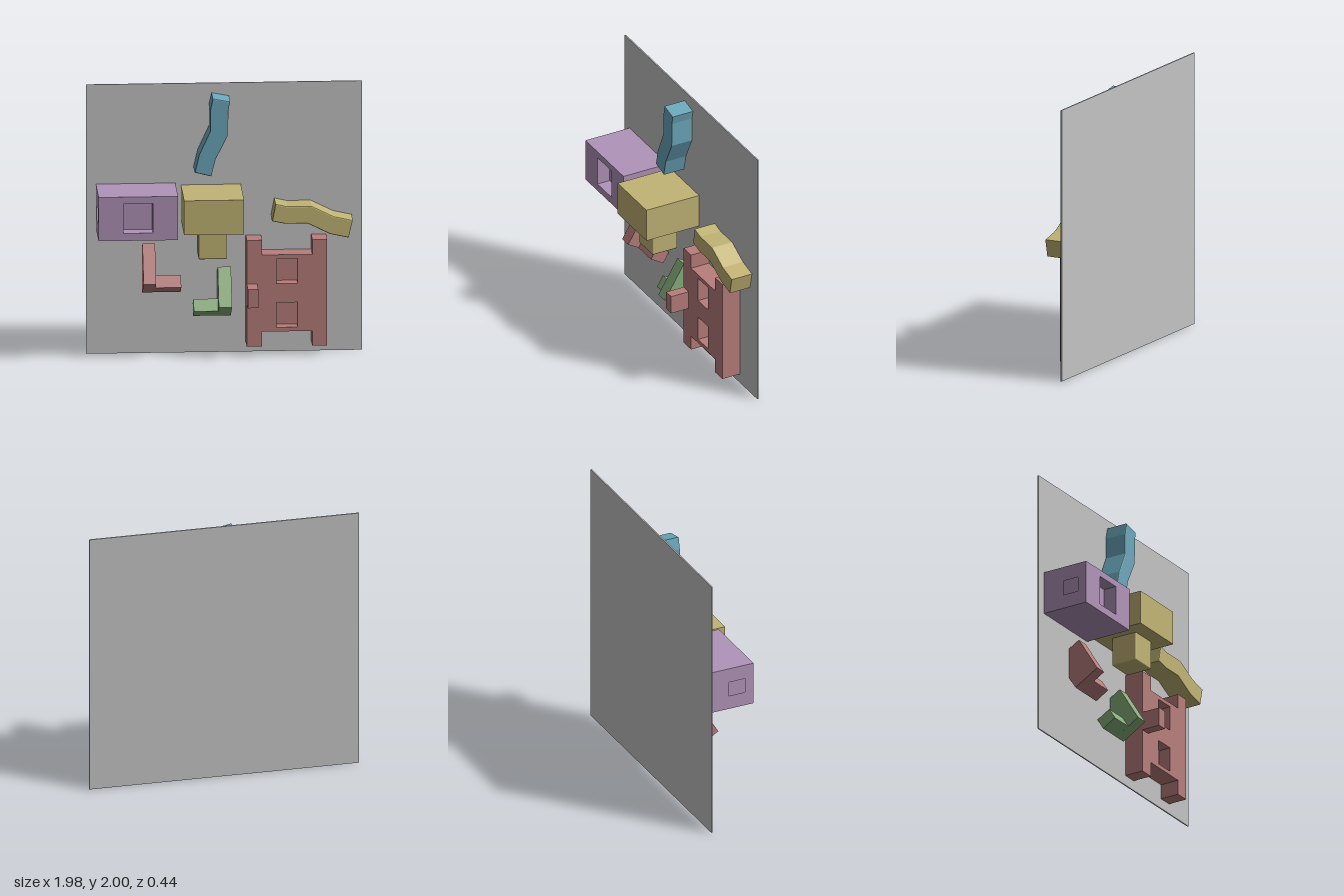
import * as THREE from 'three';
import { RoundedBoxGeometry } from 'three/addons/geometries/RoundedBoxGeometry.js';

const material = (name, color) => {
  const m = new THREE.MeshStandardMaterial({ color });
  m.name = name;
  return m;
};

const BACK = -0.21; // plane on which every part is mounted

const polygon = (points) => new THREE.Shape(points.map(([x, y]) => new THREE.Vector2(x, y)));

// Rectangle outline given by its limits
const rect = (x0, x1, y0, y1) => [[x0, y0], [x1, y0], [x1, y1], [x0, y1]];

const withHoles = (shape, ...holes) => {
  shape.holes = holes.map(polygon);
  return shape;
};

// Extrudes an x,y shape from z0 to z1, with an optional small bevel
function slab(shape, z0, z1, bevel = 0) {
  return new THREE.ExtrudeGeometry(shape, {
    depth: z1 - z0 - 2 * bevel, bevelEnabled: bevel > 0, bevelSize: bevel,
    bevelThickness: bevel, bevelOffset: -bevel, bevelSegments: 2,
  }).translate(0, 0, z0 + bevel);
}

// Extrudes a z,y shape from x0 to x1 (shape is drawn in -z,y and turned)
function sideSlab(points, x0, x1, holes = []) {
  const flip = (list) => list.map(([z, y]) => [-z, y]);
  const shape = withHoles(polygon(flip(points)), ...holes.map(flip));
  return slab(shape, x0, x1).rotateY(Math.PI / 2);
}

function box(x0, x1, y0, y1, z0, z1) {
  return new THREE.BoxGeometry(x1 - x0, y1 - y0, z1 - z0)
    .translate((x0 + x1) / 2, (y0 + y1) / 2, (z0 + z1) / 2);
}

export function createModel() {
  const model = new THREE.Group();
  const grey = material('panel grey', 0xc4c4c4);
  const purple = material('soft purple', 0xb094b8);
  const yellow = material('sand yellow', 0xc2b475);
  const blue = material('dusty blue', 0x6ca8bc);
  const pink = material('dusty pink', 0xb87e7c);
  const green = material('leaf green', 0x89b07c);

  const part = (name, mat, ...geometries) => {
    const group = new THREE.Group();
    group.name = name;
    geometries.forEach((g, i) => {
      const mesh = new THREE.Mesh(g, mat);
      mesh.name = `${name}${i + 1}`;
      group.add(mesh);
    });
    model.add(group);
  };

  part('backPanel', grey, box(-0.99, 0.99, 0, 2, -0.22, BACK));

  // Chest block with one socket in the front and one in the side
  part('chestBlock', purple,
    box(-0.82, -0.35, 0.935, 1.26, BACK, 0.05),
    slab(withHoles(polygon(rect(-0.82, -0.35, 0.935, 1.26)),
      rect(-0.74, -0.53, 0.99, 1.21)), 0.05, 0.15),
    sideSlab(rect(BACK, 0.15, 0.935, 1.26), -0.92, -0.82,
      [rect(-0.045, 0.08, 1.04, 1.15)]));

  // Head block with a neck peg under it
  part('headBlock', yellow, box(-0.31, 0.12, 0.99, 1.245, BACK, 0.22));
  part('neckPeg', yellow,
    new RoundedBoxGeometry(0.205, 0.24, 0.205, 2, 0.01).translate(-0.097, 0.895, 0.005));

  // Bent arms
  part('blueArm', blue, slab(polygon([
    [-0.09, 1.93], [-0.11, 1.84], [-0.11, 1.685], [-0.19, 1.51], [-0.22, 1.38],
    [-0.1, 1.35], [-0.07, 1.475], [0.02, 1.655], [0.022, 1.84], [0.035, 1.905],
  ]), BACK, -0.04, 0.008));
  part('yellowArm', yellow, slab(polygon([
    [0.335, 1.01], [0.43, 0.99], [0.59, 0.99], [0.75, 0.91], [0.885, 0.88],
    [0.915, 1.01], [0.78, 1.04], [0.62, 1.12], [0.445, 1.12], [0.36, 1.14],
  ]), BACK, -0.04, 0.008));

  // Tilted L-shaped legs: tall shin and low foot share one slanting sole
  const shin = [[-0.126, 0.835], [BACK, 0.785], [BACK, 0.557], [-0.155, 0.465], [0.03, 0.575]];
  const foot = [[-0.103, 0.605], [-0.203, 0.545], [-0.155, 0.465], [-0.055, 0.525]];
  part('pinkLeg', pink, sideSlab(shin, -0.59, -0.5), sideSlab(foot, -0.5, -0.315));
  part('greenLeg', green,
    sideSlab(shin, -0.05, 0.045).translate(0, -0.18, 0),
    sideSlab(foot, -0.225, -0.05).translate(0, -0.18, 0));

  // H-shaped hip block: solid back layer, front layer with two sockets
  const hip = () => polygon([
    [0.155, 0.075], [0.265, 0.075], [0.265, 0.185], [0.625, 0.185], [0.625, 0.075],
    [0.732, 0.075], [0.732, 0.865], [0.625, 0.865], [0.625, 0.755], [0.265, 0.755],
    [0.265, 0.865], [0.155, 0.865],
  ]);
  part('hipBlock', pink,
    slab(hip(), BACK, -0.155),
    slab(withHoles(hip(), rect(0.37, 0.52, 0.54, 0.725), rect(0.37, 0.52, 0.215, 0.4)),
      -0.155, -0.065));
  part('hipPeg', pink, box(0.155, 0.23, 0.4, 0.54, -0.07, 0.078));

  return model;
}
